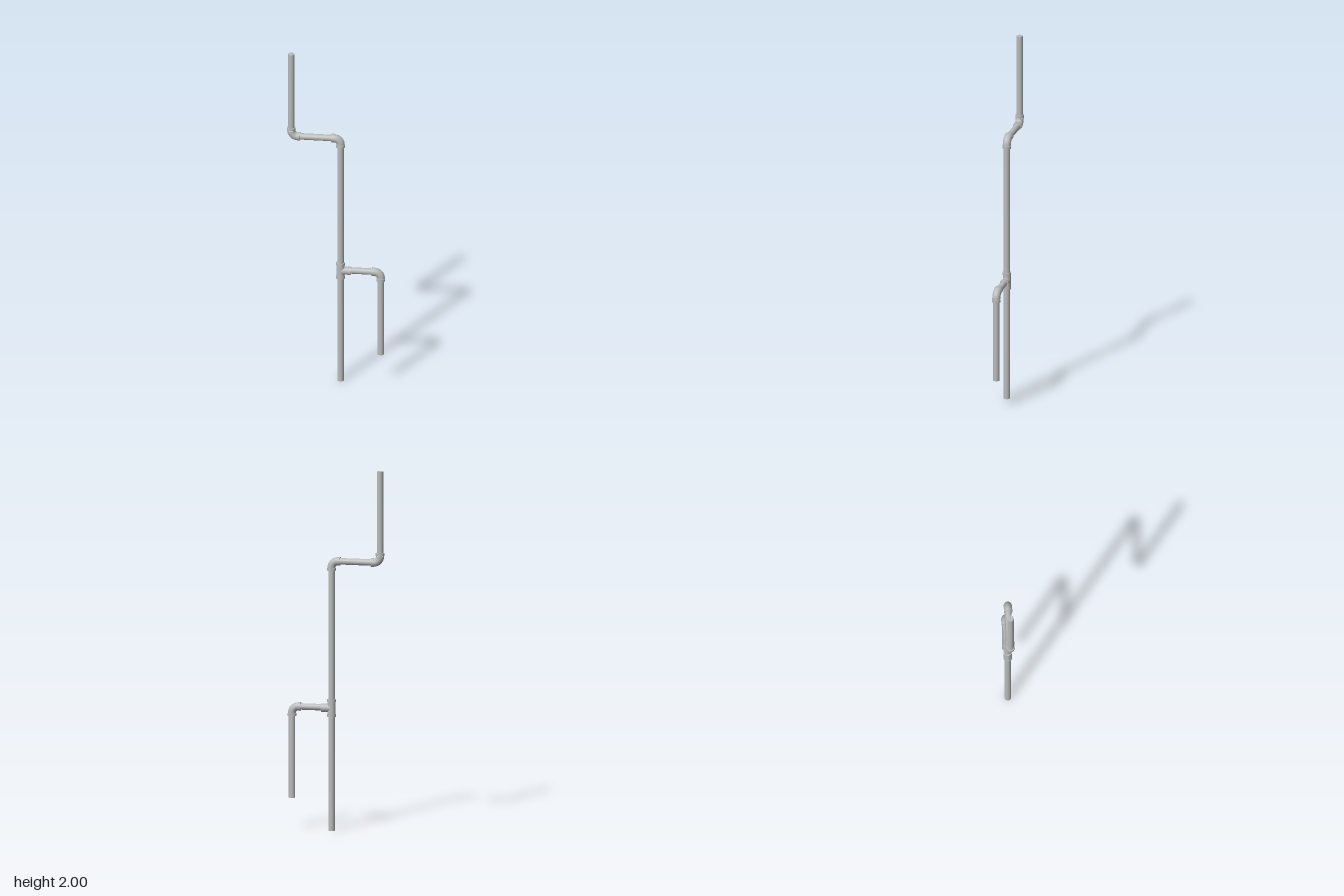
import * as THREE from 'three';

const PIPE_R = 0.0178, BODY_R = 0.0222, COLLAR_R = 0.0238;
const COLLAR_LEN = 0.015, BEND_R = 0.036, SEGMENTS = 32;

export function createModel() {
  const model = new THREE.Group();
  model.name = 'pipework';
  const steel = new THREE.MeshStandardMaterial({ color: 0xb9bbba });
  steel.name = 'galvanized grey';

  // Closed round bar between two points in the z = 0 plane
  function rod(parent, name, radius, [x1, y1], [x2, y2]) {
    const length = Math.hypot(x2 - x1, y2 - y1);
    const mesh = new THREE.Mesh(new THREE.CylinderGeometry(radius, radius, length, SEGMENTS), steel);
    mesh.name = name;
    mesh.position.set((x1 + x2) / 2, (y1 + y2) / 2, 0);
    mesh.rotation.z = Math.atan2(y2 - y1, x2 - x1) - Math.PI / 2;
    parent.add(mesh);
  }

  // Raised rim whose outer face lies at the given reach along (dx, dy)
  function collar(parent, [x, y], dx, dy, reach) {
    const inner = reach - COLLAR_LEN;
    rod(parent, 'collar', COLLAR_R, [x + dx * inner, y + dy * inner], [x + dx * reach, y + dy * reach]);
  }

  // Quarter bend with one horizontal leg and one vertical leg, both of sign s
  function elbow(name, [x, y], s) {
    const group = new THREE.Group();
    group.name = name;
    const bend = new THREE.Mesh(new THREE.TorusGeometry(BEND_R, BODY_R, 24, 20, Math.PI / 2), steel);
    bend.name = 'bend';
    bend.position.set(x + s * BEND_R, y + s * BEND_R, 0);
    bend.rotation.z = s > 0 ? Math.PI : 0;
    group.add(bend);
    collar(group, [x, y], s, 0, 0.049);
    collar(group, [x, y], 0, s, 0.053);
    model.add(group);
  }

  // Pipe junctions
  const upperLeft = [-0.246, 1.494], upperRight = [0.025, 1.494];
  const teeAt = [0.025, 0.679], lowerRight = [0.246, 0.681];

  // Straight runs
  rod(model, 'topPipe', PIPE_R, [upperLeft[0], upperLeft[1] + BEND_R], [upperLeft[0], 2]);
  rod(model, 'offsetPipe', PIPE_R, [upperLeft[0] + BEND_R, 1.494], [upperRight[0] - BEND_R, 1.494]);
  rod(model, 'mainPipe', PIPE_R, [0.025, 0], [0.025, upperRight[1] - BEND_R]);
  rod(model, 'branchPipe', PIPE_R, [0.025, 0.681], [lowerRight[0] - BEND_R, 0.681]);
  rod(model, 'dropPipe', PIPE_R, [0.246, 0.175], [0.246, lowerRight[1] - BEND_R]);

  // Bends
  elbow('upperLeftElbow', upperLeft, 1);
  elbow('upperRightElbow', upperRight, -1);
  elbow('lowerElbow', lowerRight, -1);

  // Tee joint
  const tee = new THREE.Group();
  tee.name = 'teeJoint';
  const [tx, ty] = teeAt;
  rod(tee, 'teeBody', BODY_R, [tx, ty - 0.04], [tx, ty + 0.04]);
  rod(tee, 'teeBranch', BODY_R, [tx, ty], [tx + 0.05, ty]);
  collar(tee, teeAt, 0, 1, 0.048);
  collar(tee, teeAt, 0, -1, 0.048);
  collar(tee, teeAt, 1, 0, 0.056);
  model.add(tee);

  return model;
}
